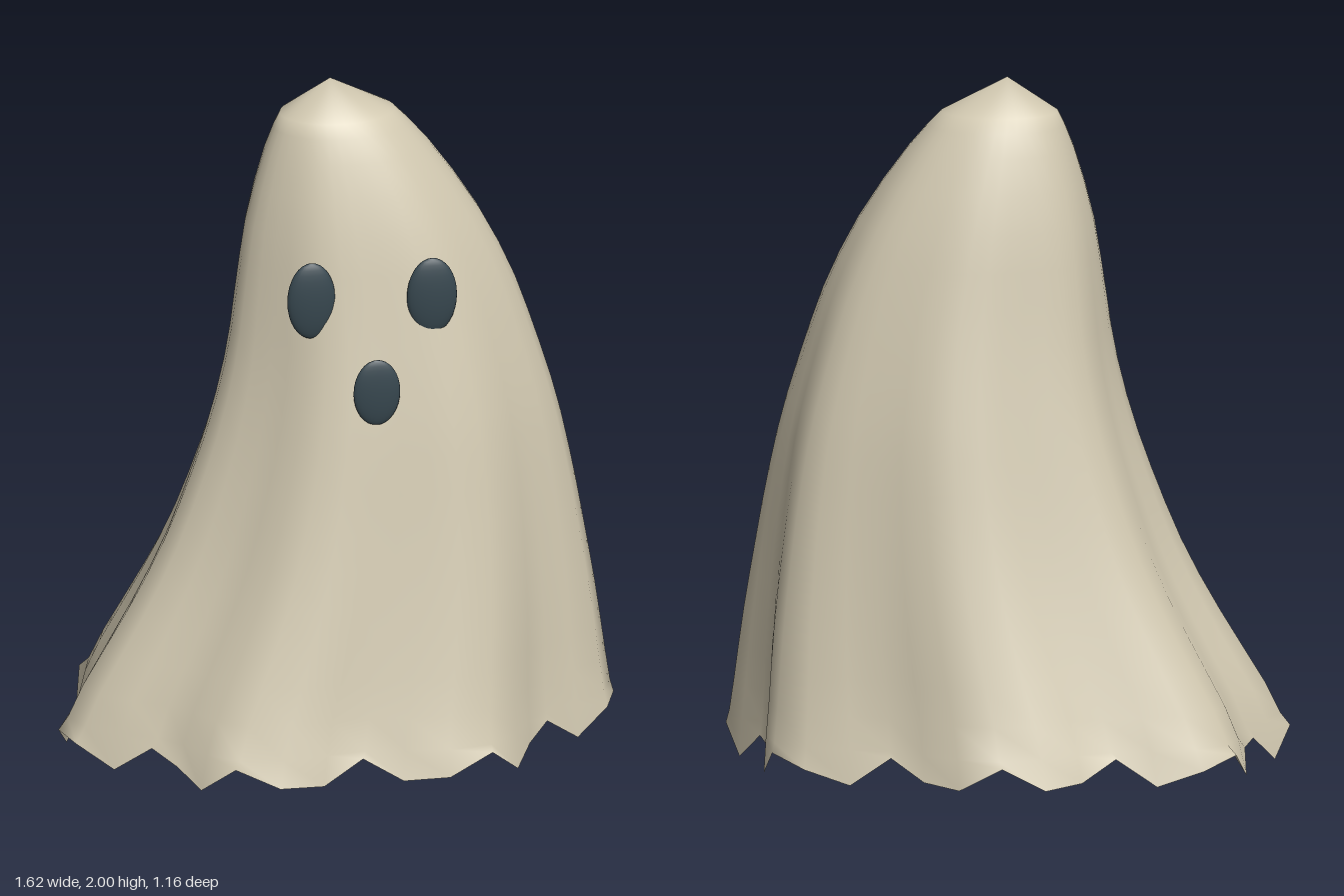
import * as THREE from 'three';

const SEGMENTS = 40, ROWS = 20, FOLDS = 7, CENTRE_Z = 0.02;

// Sheet cross-sections from head to hem: height, half-width, half-depth, sideways lean
const sections = [
  [1.9, 0.167, 0.118, 0.021], [1.8, 0.234, 0.167, 0.045], [1.6, 0.33, 0.23, 0.086],
  [1.4, 0.394, 0.272, 0.12], [1.2, 0.441, 0.314, 0.14], [1.0, 0.492, 0.355, 0.145],
  [0.8, 0.544, 0.391, 0.132], [0.6, 0.598, 0.43, 0.108], [0.4, 0.662, 0.472, 0.07],
  [0.2, 0.728, 0.518, 0.023], [0.05, 0.767, 0.5625, 0],
];
// Ragged hem heights for a quarter turn, mirrored round the sheet
const hem = [0.1, 0.03, 0.04, 0.1, 0.015, 0.055, 0.09, 0.01, 0.07, 0.08, 0];

function hemHeight(j) {
  const k = j % 20;
  return hem[k <= 10 ? k : 20 - k];
}

function sheetGeometry() {
  const spline = (pick) => new THREE.SplineCurve(sections.map(pick));
  const sizes = spline((s) => new THREE.Vector2(s[1], s[2]));
  const path = spline((s) => new THREE.Vector2(s[3], s[0]));
  const positions = [0, 2, CENTRE_Z], index = [];

  for (let i = 0; i < ROWS; i++) {
    const u = i / (ROWS - 1);
    const size = sizes.getPoint(u), { x: lean, y } = path.getPoint(u);
    const foldDepth = 0.0756 * (2 - y) / 1.95; // folds deepen towards the hem
    for (let j = 0; j < SEGMENTS; j++) {
      const t = (j / SEGMENTS) * Math.PI * 2;
      const r = 1 + foldDepth * Math.cos(FOLDS * t);
      positions.push(
        lean + size.x * r * Math.sin(t),
        i === ROWS - 1 ? hemHeight(j) : y,
        CENTRE_Z - size.y * r * Math.cos(t),
      );
    }
  }

  const at = (i, j) => 1 + i * SEGMENTS + (j % SEGMENTS);
  for (let j = 0; j < SEGMENTS; j++) {
    index.push(0, at(0, j + 1), at(0, j));
    for (let i = 0; i < ROWS - 1; i++) {
      const a = at(i, j), b = at(i, j + 1), c = at(i + 1, j), d = at(i + 1, j + 1);
      index.push(a, b, c, b, d, c);
    }
  }

  const geometry = new THREE.BufferGeometry();
  geometry.setAttribute('position', new THREE.Float32BufferAttribute(positions, 3));
  geometry.setIndex(index);
  geometry.computeVertexNormals();
  return geometry;
}

export function createModel() {
  const group = new THREE.Group();
  group.name = 'ghost';

  const cloth = new THREE.MeshStandardMaterial({ color: 0xd2c9b1, side: THREE.DoubleSide });
  cloth.name = 'cloth';
  const dark = new THREE.MeshStandardMaterial({ color: 0x37474f });
  dark.name = 'darkSlate';

  const sheet = new THREE.Mesh(sheetGeometry(), cloth);
  sheet.name = 'sheet';
  group.add(sheet);

  // Face: flattened ovals half sunk into the cloth
  const oval = new THREE.SphereGeometry(1, 24, 16);
  const face = [
    ['rightEye', [-0.1, 1.415, 0.266], [0.07, 0.116, 0.022]],
    ['leftEye', [0.247, 1.415, 0.289], [0.073, 0.116, 0.022]],
    ['mouth', [0.075, 1.153, 0.352], [0.068, 0.1, 0.017]],
  ];
  for (const [name, position, scale] of face) {
    const mesh = new THREE.Mesh(oval, dark);
    mesh.name = name;
    mesh.position.set(...position);
    mesh.scale.set(...scale);
    group.add(mesh);
  }
  return group;
}
